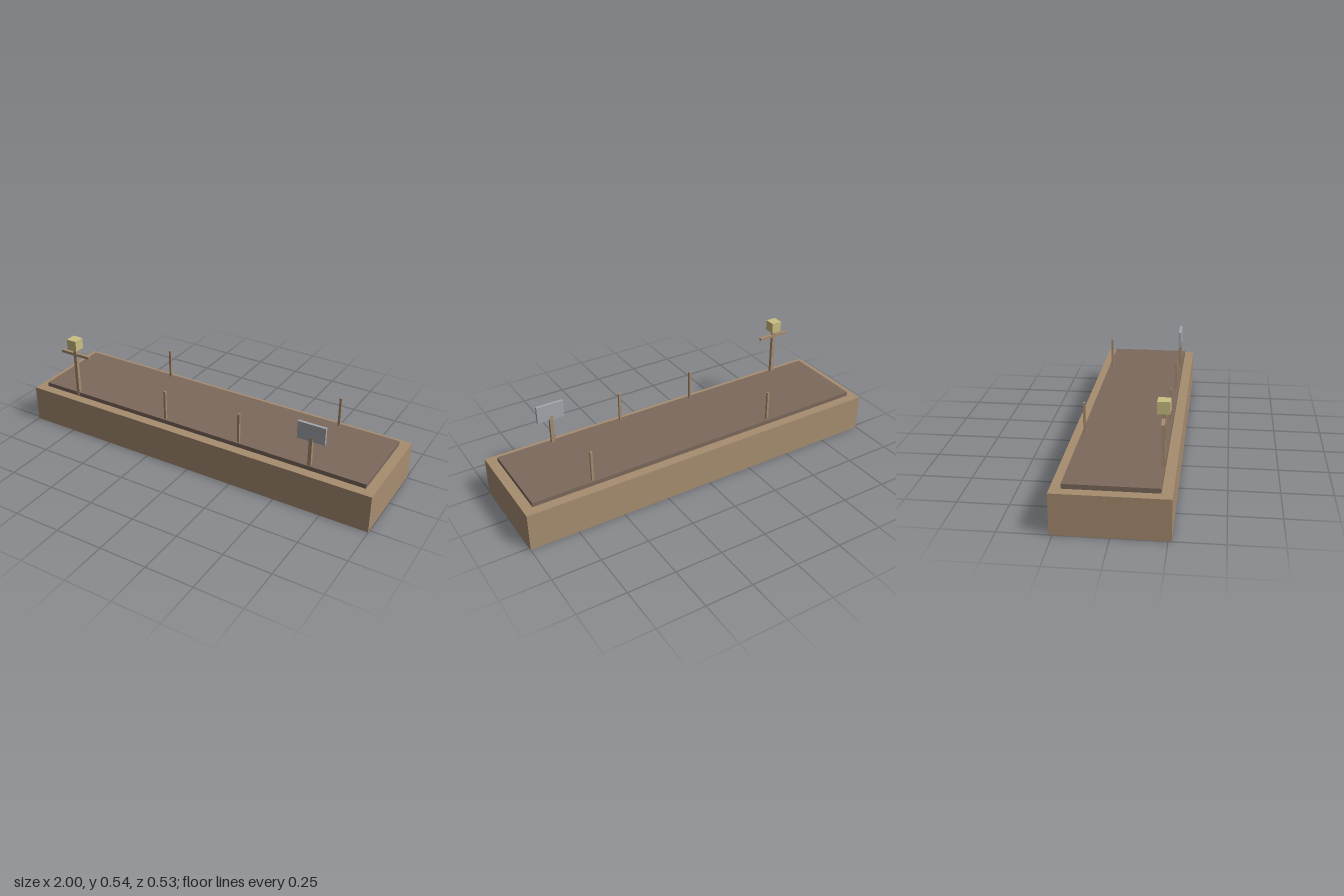
import * as THREE from 'three';

const mat = (name, color) => {
  const m = new THREE.MeshStandardMaterial({ color });
  m.name = name;
  return m;
};

export function createModel() {
  const wood = mat('wood', 0xa78d70);
  const soil = mat('soil', 0x7d695c);
  const straw = mat('straw', 0xcabf82);
  const board = mat('grey board', 0xa4a8ae);

  const model = new THREE.Group();
  model.name = 'gardenBed';

  // Box with its underside at height y
  const box = (parent, name, material, [w, h, d], [x, y, z]) => {
    const mesh = new THREE.Mesh(new THREE.BoxGeometry(w, h, d), material);
    mesh.name = name;
    mesh.position.set(x, y + h / 2, z);
    parent.add(mesh);
  };
  const group = (name) => {
    const g = new THREE.Group();
    g.name = name;
    model.add(g);
    return g;
  };

  // Raised bed
  box(model, 'planterBase', wood, [2, 0.2, 0.532], [0, 0, 0]);
  box(model, 'soilBed', soil, [1.9, 0.023, 0.432], [0, 0.2, 0]);

  // Plant stakes along both long edges
  const stakes = group('stakes');
  for (const [x, z] of [[-0.402, -0.2], [0.63, -0.2], [-0.17, 0.2], [0.265, 0.2]]) {
    box(stakes, 'stake', wood, [0.012, 0.183, 0.012], [x, 0.2, z]);
  }

  // Scarecrow
  const scarecrow = group('scarecrow');
  box(scarecrow, 'scarecrowPost', wood, [0.018, 0.285, 0.018], [-0.735, 0.2, 0.208]);
  box(scarecrow, 'scarecrowArms', wood, [0.18, 0.015, 0.015], [-0.735, 0.444, 0.208]);
  box(scarecrow, 'scarecrowHead', straw, [0.058, 0.058, 0.058], [-0.735, 0.485, 0.208]);

  // Sign
  const sign = group('sign');
  box(sign, 'signPost', wood, [0.018, 0.18, 0.018], [0.655, 0.2, 0.201]);
  box(sign, 'signBoard', board, [0.145, 0.091, 0.015], [0.656, 0.357, 0.201]);

  return model;
}
